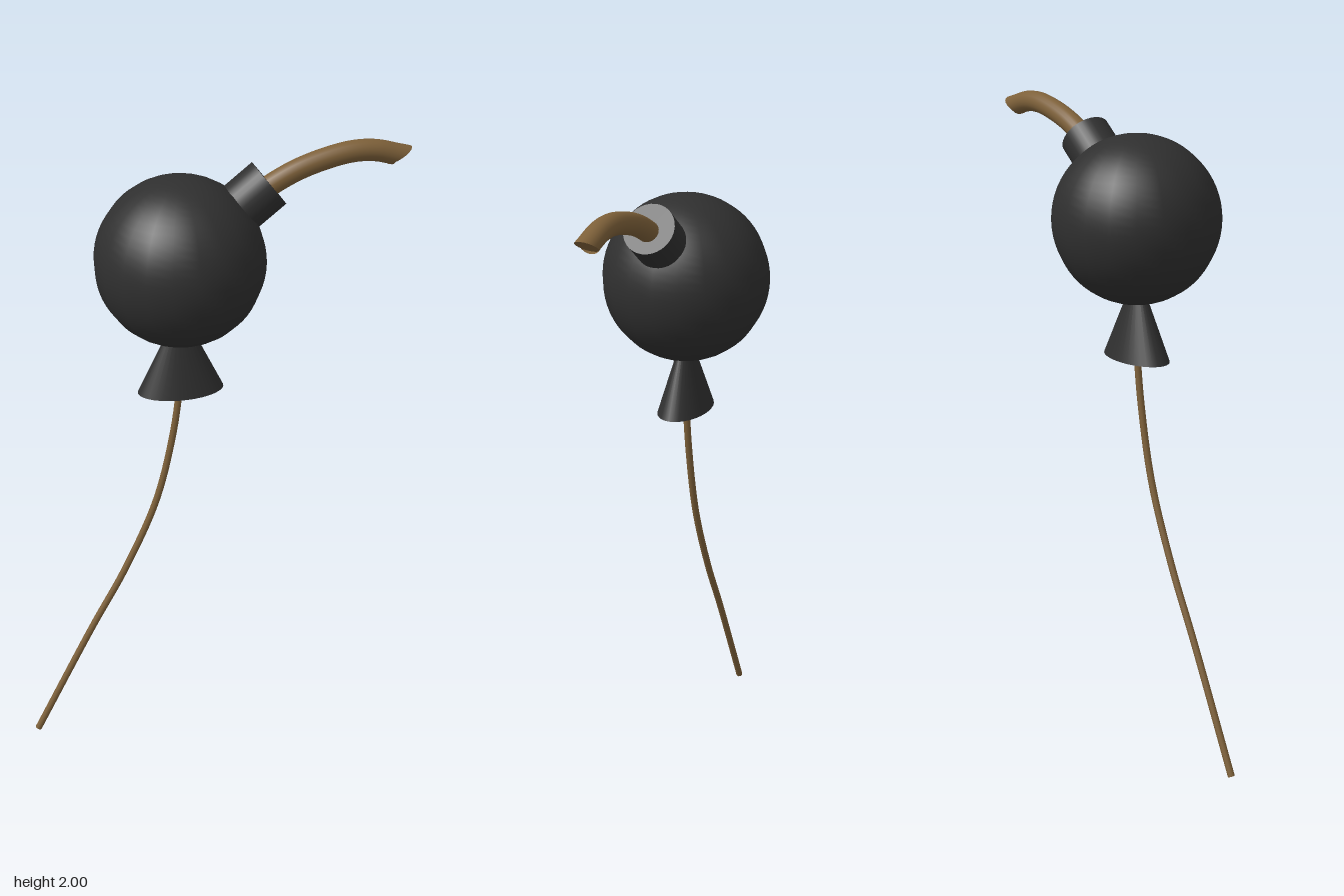
import * as THREE from 'three';

const black = new THREE.MeshStandardMaterial({ color: 0x2f2f2f });
black.name = 'charcoal black';
const rope = new THREE.MeshStandardMaterial({ color: 0x7d6039 });
rope.name = 'rope brown';

// Capped rope along x/y points; slant shears the last ring into an oblique cut
function makeRope(points, radius, segments, sides, slant) {
  const curve = new THREE.CatmullRomCurve3(points.map(([x, y]) => new THREE.Vector3(x, y, 0)));
  const group = new THREE.Group();
  const tube = new THREE.TubeGeometry(curve, segments, radius, sides, false);
  const pos = tube.attributes.position;
  const tangent = curve.getTangentAt(1);
  const up = new THREE.Vector3(-tangent.y, tangent.x, 0);
  const end = curve.getPointAt(1);
  const first = segments * (sides + 1);
  const p = new THREE.Vector3();
  const ring = [];
  for (let i = 0; i <= sides; i++) {
    p.fromBufferAttribute(pos, first + i);
    p.addScaledVector(tangent, slant * p.clone().sub(end).dot(up));
    pos.setXYZ(first + i, p.x, p.y, p.z);
    ring.push(p.clone());
  }
  const side = new THREE.Mesh(tube, rope);
  side.name = 'strand';

  // Flat end face, wound to look along the tangent
  const verts = [];
  for (let i = 0; i < sides; i++) {
    const a = ring[i], b = ring[i + 1];
    const facing = a.clone().sub(end).cross(b.clone().sub(end)).dot(tangent) > 0;
    for (const v of facing ? [end, a, b] : [end, b, a]) verts.push(v.x, v.y, v.z);
  }
  const capGeometry = new THREE.BufferGeometry();
  capGeometry.setAttribute('position', new THREE.Float32BufferAttribute(verts, 3));
  capGeometry.computeVertexNormals();
  const cap = new THREE.Mesh(capGeometry, rope);
  cap.name = 'cutEnd';
  group.add(side, cap);
  return group;
}

export function createModel() {
  const model = new THREE.Group();
  const add = (name, object) => {
    object.name = name;
    model.add(object);
    return object;
  };

  // Round body
  add('body', new THREE.Mesh(new THREE.SphereGeometry(0.26, 20, 32), black))
    .position.set(-0.102, 1.672, 0);

  // Flattened knot under the body
  const knot = add('knot', new THREE.Mesh(new THREE.ConeGeometry(0.136, 0.28, 32), black));
  knot.scale.z = 0.58;
  knot.position.set(-0.104, 1.38, 0);

  // Tilted neck holding the fuse
  const axis = new THREE.Vector3(0.79, 0.613, 0).normalize();
  const neck = add('neck', new THREE.Mesh(new THREE.CylinderGeometry(0.08, 0.08, 0.18, 32), black));
  neck.quaternion.setFromUnitVectors(new THREE.Vector3(0, 1, 0), axis);
  neck.position.set(0.172, 1.892, 0).addScaledVector(axis, -0.09);

  // Curved fuse with a slanted end
  add('fuse', makeRope(
    [[0.11, 1.84], [0.18, 1.887], [0.28, 1.933], [0.42, 1.966], [0.5, 1.964], [0.577, 1.943]],
    0.033, 32, 20, 0.95));

  // Hanging string
  add('string', makeRope(
    [[-0.104, 1.3], [-0.108, 1.24], [-0.13, 1.084], [-0.188, 0.847], [-0.294, 0.605],
      [-0.415, 0.385], [-0.612, 0.006]],
    0.011, 40, 12, 0));

  return model;
}
